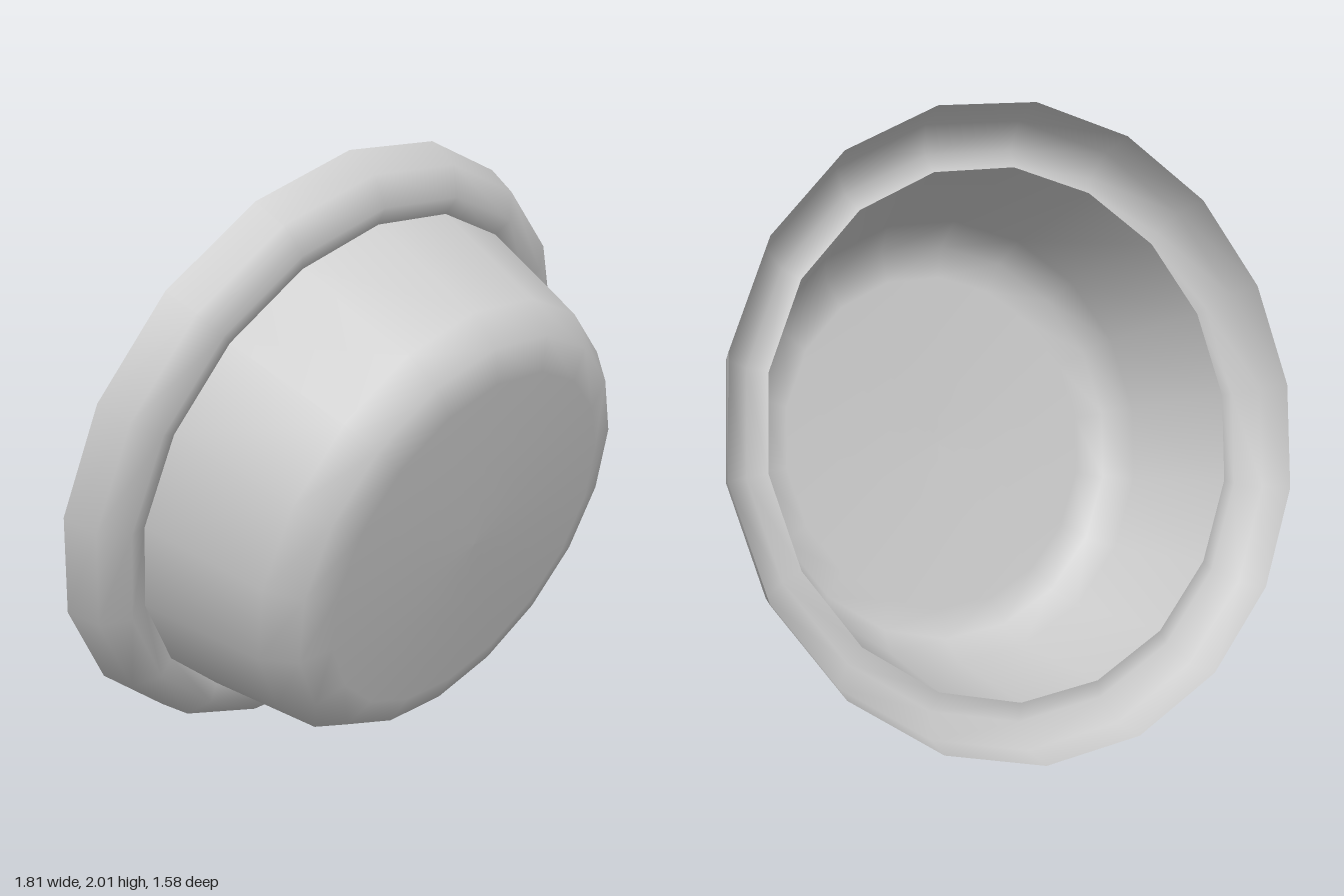
import * as THREE from 'three';

const SIDES = 18;
const PHASE = 0.16;

export function createModel() {
  const model = new THREE.Group();
  const material = new THREE.MeshStandardMaterial({ color: 0xcccccc, side: THREE.DoubleSide });

  // Thin surface turned from [radius, height] points
  const turned = (name, profile) => {
    const points = profile.map(([r, h]) => new THREE.Vector2(r, h));
    const mesh = new THREE.Mesh(new THREE.LatheGeometry(points, SIDES, PHASE), material);
    mesh.name = name;
    return mesh;
  };

  const hat = new THREE.Group();
  hat.name = 'hat';

  // Brim, curling down at its outer edge and dipping slightly towards the crown
  hat.add(turned('brim', [[1.055, 0], [1.02, 0.11], [0.935, 0.165], [0.873, 0.145]]));

  // Tapered crown with a rounded edge and nearly flat top
  hat.add(turned('crown', [[0.873, 0.145], [0.77, 0.55], [0.695, 0.645], [0.59, 0.675], [0, 0.685]]));

  // Tilt the hat so its crown points forward, to +x and a little down
  const axis = new THREE.Vector3(0.546, -0.27, 0.793).normalize();
  const up = new THREE.Vector3(0, 1, 0).addScaledVector(axis, -axis.y).normalize();
  const side = new THREE.Vector3().crossVectors(axis, up);
  hat.quaternion.setFromRotationMatrix(new THREE.Matrix4().makeBasis(side, axis, up));
  hat.position.set(-0.029, 1, -0.146);

  model.add(hat);
  return model;
}
